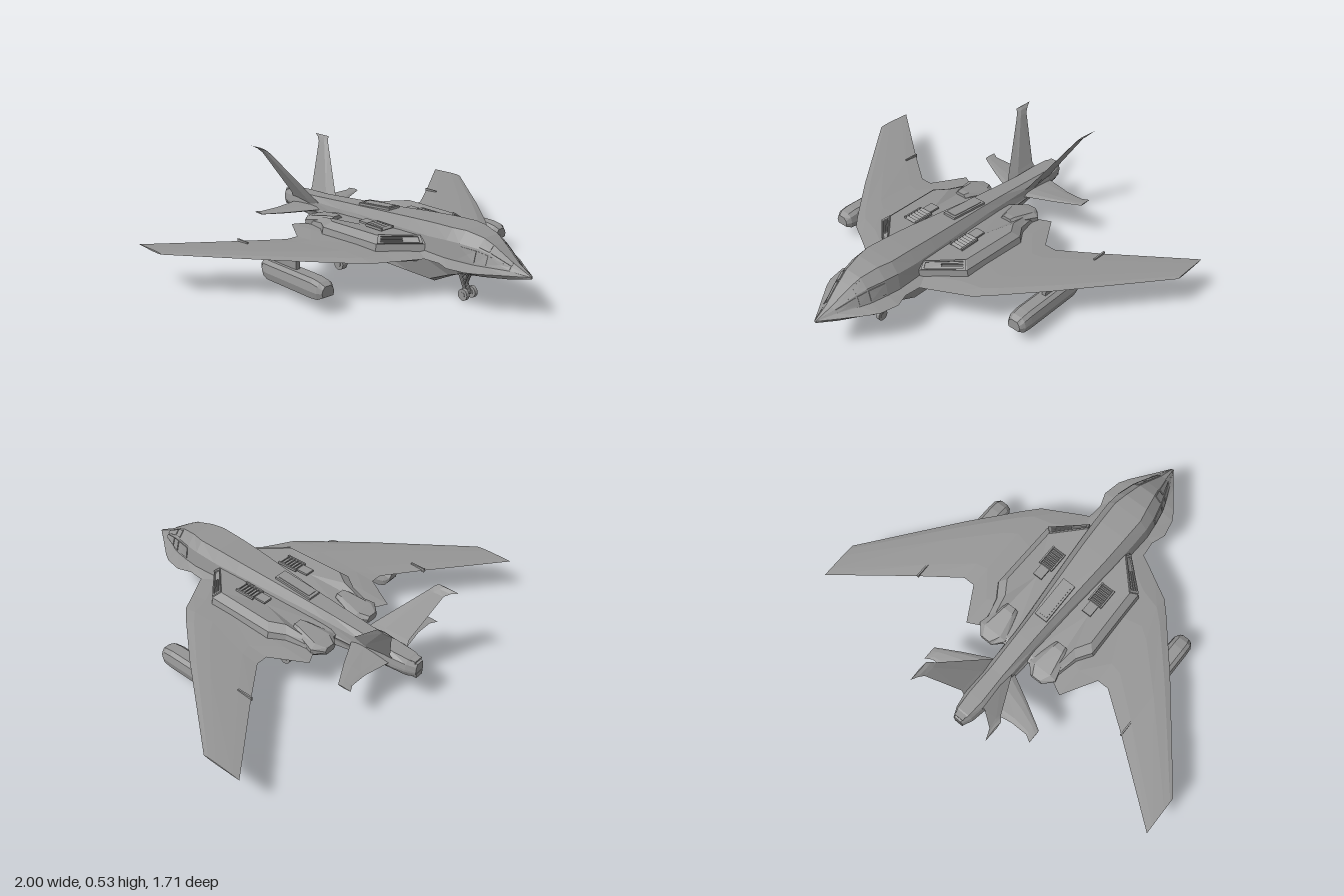
import * as THREE from 'three';

const mat = new THREE.MeshStandardMaterial({ color: 0x959595, flatShading: true });
const V = (x, y, z) => new THREE.Vector3(x, y, z);

// Closed solid through rings of [x, y, z]; s = -1 mirrors it across x
function loft(rings, s = 1) {
  const R = rings.map(r => r.map(p => V(p[0] * s, p[1], p[2])));
  const tris = [], n = R[0].length;
  for (let i = 0; i + 1 < R.length; i++)
    for (let j = 0; j < n; j++) {
      const k = (j + 1) % n;
      tris.push([R[i][j], R[i][k], R[i + 1][k]], [R[i][j], R[i + 1][k], R[i + 1][j]]);
    }
  const cap = (r, flip) => {
    const c = r.reduce((a, p) => a.add(p), V(0, 0, 0)).divideScalar(n);
    r.forEach((p, j) => {
      const q = r[(j + 1) % n];
      tris.push(flip ? [c, q, p] : [c, p, q]);
    });
  };
  cap(R[0], true);
  cap(R[R.length - 1], false);
  // signed volume tells whether the faces point outward
  const o = R[0][0];
  const vol = tris.reduce((a, [p, q, r]) =>
    a + p.clone().sub(o).dot(q.clone().sub(o).cross(r.clone().sub(o))), 0);
  const pos = tris.flatMap(([p, q, r]) => (vol < 0 ? [p, r, q] : [p, q, r]).flatMap(v => v.toArray()));
  const g = new THREE.BufferGeometry();
  g.setAttribute('position', new THREE.Float32BufferAttribute(pos, 3));
  g.computeVertexNormals();
  return g;
}

// Thin panel on four corners
function plate(pts, t, s) {
  const [a, b, c, d] = pts.map(p => V(...p));
  const n = c.clone().sub(a).cross(d.clone().sub(b)).normalize().multiplyScalar(t);
  return loft([-1, 1].map(k => [a, b, c, d].map(p => p.clone().addScaledVector(n, k).toArray())), s);
}

const mix = (a, b, t) => a.map((v, i) => v + (b[i] - v) * t);

export function createModel() {
  const model = new THREE.Group();
  const add = (name, geo) => {
    const m = new THREE.Mesh(geo, mat);
    m.name = name;
    model.add(m);
    return m;
  };
  const rod = (name, a, b, r) => {
    const p = V(...a), q = V(...b);
    const m = add(name, new THREE.CylinderGeometry(r, r, p.distanceTo(q), 8));
    m.position.copy(p).lerp(q, 0.5);
    m.quaternion.setFromUnitVectors(V(0, 1, 0), q.sub(p).normalize());
  };
  const box = (name, w, h, d, x, y, z, tilt = 0) => {
    const m = add(name, new THREE.BoxGeometry(w, h, d));
    m.position.set(x, y, z);
    m.rotation.x = tilt;
  };
  const wheel = (name, r, w, x, y, z) => {
    add(name, new THREE.CylinderGeometry(r, r, w, 14).rotateZ(Math.PI / 2)).position.set(x, y, z);
    add(name + 'Hub', new THREE.CylinderGeometry(r * 0.5, r * 0.5, w * 1.2, 10).rotateZ(Math.PI / 2)).position.set(x, y, z);
  };

  // Fuselage: z, top y/half width, shoulder y/half width, base, chine, bottom y/half width
  const hull = [
    [0.855, 0.208, 0.003, 0.206, 0.004, 0.005, 0.006, 0.197, 0.003],
    [0.77, 0.248, 0.014, 0.235, 0.03, 0.042, 0.068, 0.18, 0.03],
    [0.67, 0.312, 0.034, 0.28, 0.068, 0.088, 0.143, 0.17, 0.065],
    [0.62, 0.338, 0.046, 0.296, 0.086, 0.106, 0.172, 0.165, 0.08],
    [0.53, 0.355, 0.064, 0.305, 0.11, 0.122, 0.19, 0.152, 0.095],
    [0.46, 0.355, 0.078, 0.305, 0.118, 0.13, 0.165, 0.125, 0.1],
    [0.34, 0.35, 0.075, 0.295, 0.115, 0.125, 0.175, 0.065, 0.1],
    [0.2, 0.34, 0.07, 0.29, 0.105, 0.12, 0.17, 0.065, 0.1],
    [-0.2, 0.305, 0.045, 0.27, 0.07, 0.085, 0.1, 0.068, 0.1],
    [-0.34, 0.295, 0.04, 0.26, 0.062, 0.07, 0.08, 0.14, 0.07],
    [-0.55, 0.278, 0.035, 0.255, 0.058, 0.062, 0.065, 0.16, 0.045],
    [-0.7, 0.272, 0.038, 0.25, 0.06, 0.065, 0.066, 0.172, 0.04],
    [-0.79, 0.268, 0.032, 0.245, 0.045, 0.05, 0.05, 0.176, 0.035],
    [-0.835, 0.255, 0.018, 0.24, 0.025, 0.028, 0.028, 0.185, 0.02],
  ];
  const side = ([z, ty, tw, sy, sw, bw, cw, by, lw]) => [
    [tw, ty, z], [sw, sy, z], [bw, Math.min(0.225, 0.208 + cw * 0.2), z], [cw, 0.207, z],
    [Math.max(lw, Math.min(cw * 0.8, 0.125)), Math.max(0.188, by + 0.002), z],
    [lw, by + Math.max(0, 0.188 - by) * 0.15, z], [lw * 0.65, by, z]];
  add('fuselage', loft(hull.map(h => {
    const r = side(h);
    return [...r, ...r.slice().reverse().map(([x, y, z]) => [-x, y, z])];
  })));
  box('dorsalPanel', 0.07, 0.012, 0.22, 0, 0.318, -0.11, -0.085);
  box('dorsalPanelInset', 0.05, 0.012, 0.19, 0, 0.321, -0.11, -0.085);

  // Tail end lips
  for (const [y, w, z] of [[0.253, 0.05, -0.785], [0.192, 0.045, -0.797]])
    box('tailLip', w, 0.026, 0.08, 0, y, z);

  for (const s of [1, -1]) {
    // Cockpit glazing: windscreen panes (row 0) and side windows (row 1)
    for (const [i, row] of [[1, 0], [2, 0], [1, 1], [2, 1], [3, 1]]) {
      const p = side(hull[i]), q = side(hull[i + 1]);
      const at = (u, v) => mix(mix(p[row], q[row], u), mix(p[row + 1], q[row + 1], u), v);
      add(row ? 'sideWindow' : 'windscreenPane',
        plate([at(0.05, 0.14), at(0.95, 0.14), at(0.95, 0.86), at(0.05, 0.86)], 0.004, s));
    }

    // Wing: x, leading z, trailing z, half thickness
    const wing = [[0.04, 0.42, -0.4, 0.018], [0.17, 0.38, -0.4, 0.018], [0.21, 0.36, -0.4, 0.018],
      [0.29, 0.315, -0.44, 0.017], [0.39, 0.26, -0.27, 0.016], [0.45, 0.195, -0.27, 0.015],
      [0.64, -0.03, -0.41, 0.011], [1, -0.49, -0.69, 0.004]];
    const foil = (x, y, l, t, h) => {
      const at = k => l + (t - l) * k;
      return [[x, y, l], [x, y + h * 0.8, at(0.12)], [x, y + h, at(0.35)], [x, y + h * 0.5, at(0.8)],
        [x, y, t], [x, y - h * 0.5, at(0.8)], [x, y - h, at(0.35)], [x, y - h * 0.8, at(0.12)]];
    };
    add('wing', loft(wing.map(([x, l, t, h]) => foil(x, 0.208, l, t, h)), s));
    box('wingFence', 0.008, 0.02, 0.08, s * 0.635, 0.21, -0.37);

    // Tailplane
    add('tailplane', loft([[0.03, -0.48, -0.72, 0.012], [0.07, -0.5, -0.71, 0.012],
      [0.2, -0.565, -0.685, 0.009], [0.29, -0.615, -0.685, 0.005], [0.325, -0.635, -0.705, 0.003]]
      .map(([x, l, t, h]) => foil(x, 0.222, l, t, h)), s));

    // Canted fin
    add('tailFin', loft([[0.045, 0.23, -0.49, -0.73, 0.009], [0.07, 0.275, -0.525, -0.72, 0.008],
      [0.19, 0.495, -0.72, -0.8, 0.005], [0.204, 0.515, -0.737, -0.825, 0.004], [0.218, 0.526, -0.75, -0.857, 0.003]]
      .map(([x, y, l, t, h]) => {
        const m = l + (t - l) * 0.35;
        return [[x, y, l], [x + h, y - h * 0.5, m], [x, y, t], [x - h, y + h * 0.5, m]];
      }), s));

    // Upper engine housing, from plan outlines
    const mid = [[0.05, 0.255, 0.37], [0.12, 0.255, 0.33], [0.285, 0.255, 0.18], [0.292, 0.252, -0.19],
      [0.245, 0.245, -0.26], [0.21, 0.22, -0.41], [0.05, 0.22, -0.41]];
    const top = [[0.05, 0.284, 0.34], [0.11, 0.284, 0.3], [0.252, 0.284, 0.15], [0.26, 0.28, -0.16],
      [0.215, 0.272, -0.23], [0.19, 0.235, -0.38], [0.05, 0.235, -0.38]];
    const foot = mid.map(([x, , z]) => [x > 0.06 ? x + 0.01 : x, 0.205, z]);
    add('engineHousing', loft([foot, mid, top], s));

    // Slanted intake with frame and louvres
    const q = (u, v) => mix(mix(mid[1], mid[2], u), mix(top[1], top[2], u), v);
    for (const [u, v, U, W] of [[0.04, 0.02, 0.98, 0.16], [0.04, 0.84, 0.98, 0.98], [0.04, 0.02, 0.1, 0.98],
      [0.92, 0.02, 0.98, 0.98], [0.45, 0.3, 0.92, 0.42], [0.45, 0.56, 0.92, 0.68]])
      add('intakeFrame', plate([q(u, v), q(U, v), q(U, W), q(u, W)], 0.007, s));

    // Top vent: narrow cover behind a row of tilted slats
    box('ventCover', 0.05, 0.01, 0.065, s * 0.152, 0.285, -0.028);
    for (const x of [0.118, 0.188])
      box('ventRail', 0.008, 0.012, 0.11, s * x, 0.286, 0.058);
    for (let i = 0; i < 6; i++)
      box('ventSlat', 0.064, 0.004, 0.017, s * 0.153, 0.286, 0.01 + i * 0.019, 0.7);

    // Lower engine housing
    const low = [[0.05, 0.36], [0.12, 0.33], [0.285, 0.18], [0.29, -0.19], [0.245, -0.27], [0.2, -0.4], [0.05, -0.4]];
    add('lowerHousing', loft([low.map(([x, z]) => [x, 0.205, z]),
      low.map(([x, z]) => [x * 0.97, 0.185, z * 0.97]),
      low.map(([x, z]) => [x > 0.06 ? x * 0.88 : x, 0.155, z * 0.85])], s));

    // Exhaust petals: z, half width, bottom, top
    add('exhaust', loft([[-0.25, 0.035, 0.18, 0.264], [-0.28, 0.045, 0.178, 0.264],
      [-0.4, 0.08, 0.182, 0.243], [-0.45, 0.035, 0.195, 0.23]].map(([z, w, b, t]) => [
      [0.155 - w, b + 0.015, z], [0.155 - w * 0.7, b, z], [0.155 + w * 0.7, b, z], [0.155 + w, b + 0.015, z],
      [0.155 + w, t - 0.015, z], [0.155 + w * 0.6, t, z], [0.155 - w * 0.6, t, z], [0.155 - w, t - 0.015, z]]), s));

    // Underwing pod and pylon: z, half width, bottom, top
    add('pod', loft([[0.19, 0.035, 0.085, 0.135], [0.165, 0.05, 0.074, 0.15], [0.12, 0.052, 0.07, 0.157],
      [-0.2, 0.052, 0.07, 0.157], [-0.235, 0.046, 0.08, 0.155], [-0.26, 0.03, 0.115, 0.148]]
      .map(([z, w, b, t]) => {
        const m = b + (t - b) * 0.4, x = 0.583;
        return [[x - w * 0.85, b, z], [x + w * 0.85, b, z], [x + w, m, z], [x + w * 0.85, t - 0.015, z],
          [x + w * 0.5, t, z], [x - w * 0.5, t, z], [x - w * 0.85, t - 0.015, z], [x - w, m, z]];
      }), s));
    box('pylon', 0.022, 0.06, 0.16, s * 0.583, 0.178, -0.1);

    // Main landing gear
    rod('mainStrut', [s * 0.125, 0.16, -0.19], [s * 0.168, 0.04, -0.2], 0.012);
    rod('mainBrace', [s * 0.11, 0.12, -0.15], [s * 0.16, 0.07, -0.195], 0.006);
    wheel('mainWheel', 0.034, 0.03, s * 0.177, 0.037, -0.2);

    // Nose landing gear, one side of the pair
    rod('noseStrut', [s * 0.012, 0.14, 0.44], [s * 0.012, 0.03, 0.49], 0.008);
    rod('noseBrace', [s * 0.01, 0.15, 0.51], [s * 0.01, 0.07, 0.475], 0.005);
    wheel('noseWheel', 0.028, 0.018, s * 0.028, 0.028, 0.49);
  }
  rod('noseAxle', [-0.03, 0.028, 0.49], [0.03, 0.028, 0.49], 0.007);
  return model;
}
